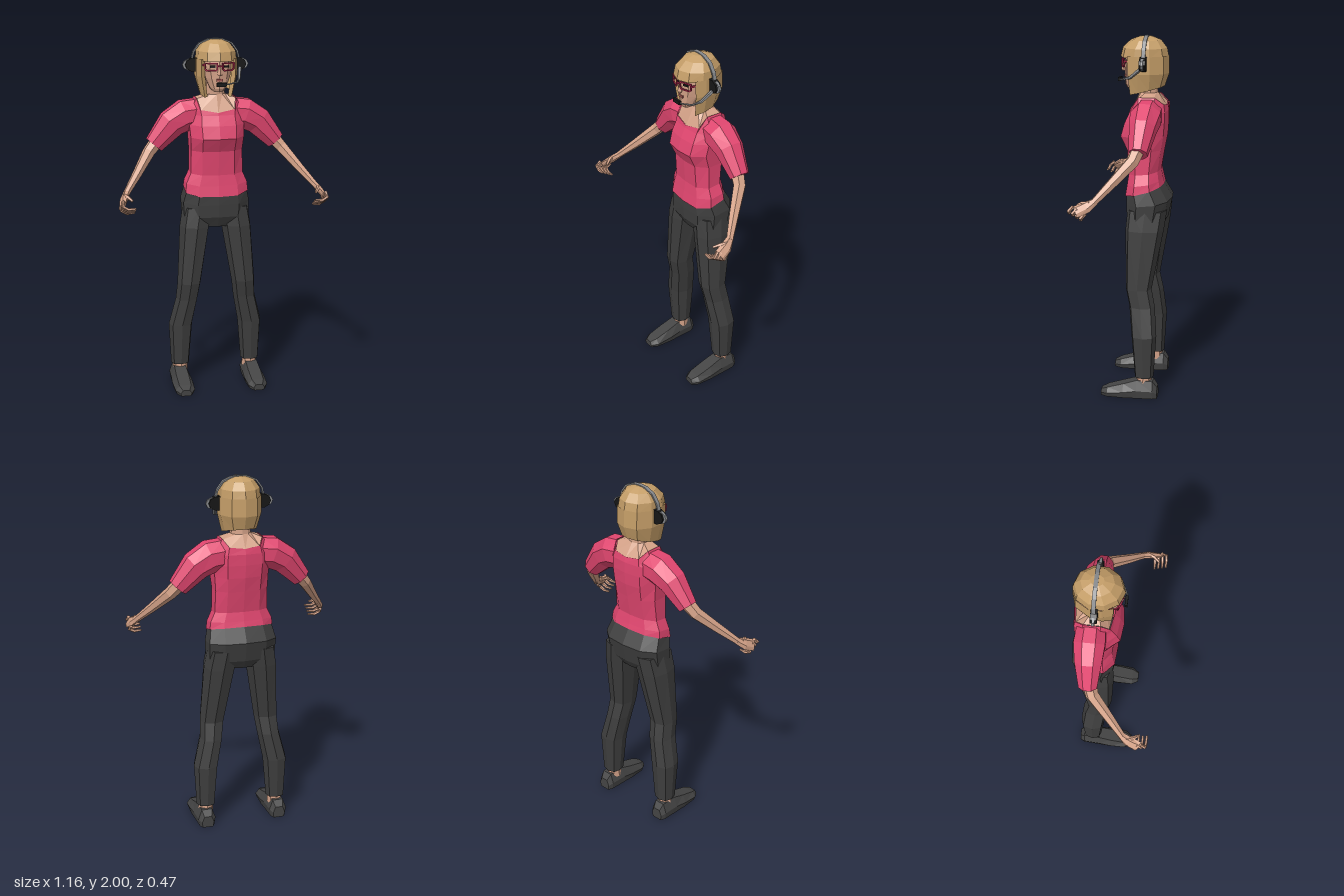
import * as THREE from 'three';

const mat = (name, color, side = THREE.FrontSide) => {
  const m = new THREE.MeshStandardMaterial({ color, side });
  m.name = name;
  return m;
};

// Faceted skin through a list of rings; s = -1 mirrors it across x
function loft(rings, { s = 1, capA = true, capB = true, closed = true } = {}) {
  const R = rings.map(r => r.map(p => new THREE.Vector3(p[0] * s, p[1], p[2])));
  const n = R[0].length, tris = [];
  const mean = r => r.reduce((a, p) => a.add(p), new THREE.Vector3()).divideScalar(r.length);
  for (let i = 0; i < R.length - 1; i++)
    for (let j = 0; j < (closed ? n : n - 1); j++) {
      const k = (j + 1) % n, a = R[i][j], b = R[i][k], c = R[i + 1][k], d = R[i + 1][j];
      tris.push([a, b, c], [a, c, d]);
    }
  const cap = (r, flip) => {
    const c = mean(r);
    r.forEach((p, j) => {
      const q = r[(j + 1) % n];
      tris.push(flip ? [c, q, p] : [c, p, q]);
    });
  };
  if (closed && capA) cap(R[0], true);
  if (closed && capB) cap(R[R.length - 1], false);
  // Turn every face outward by the sign of the enclosed volume
  const mid = mean(R.flat()), rel = p => p.clone().sub(mid);
  const vol = tris.reduce((v, [a, b, c]) => v + rel(a).dot(rel(b).cross(rel(c))), 0);
  const pts = tris.flatMap(([a, b, c]) => (vol < 0 ? [a, c, b] : [a, b, c]));
  const g = new THREE.BufferGeometry().setFromPoints(pts);
  g.computeVertexNormals();
  return g;
}

// Horizontal ring, first point at the front; e < 1 makes it boxier
function ring(y, x0, x1, zf, zb, n = 10, e = 1) {
  const pw = v => Math.sign(v) * Math.pow(Math.abs(v) < 1e-9 ? 0 : Math.abs(v), e);
  return Array.from({ length: n }, (_, i) => {
    const t = (i / n) * Math.PI * 2;
    return [(x0 + x1) / 2 + (x1 - x0) / 2 * pw(Math.sin(t)), y,
      (zf + zb) / 2 + (zf - zb) / 2 * pw(Math.cos(t))];
  });
}

// Completes a half ring (front centre to back centre) by mirroring
const whole = h => [...h, ...h.slice(1, -1).reverse().map(([x, y, z]) => [-x, y, z])];

// Boxy body section with its own front and back height
function bodyRing([yf, yb, w, zf, zb]) {
  return whole([[0, 0], [0.62, 0.04], [1, 0.3], [1, 0.72], [0.62, 0.95], [0, 1]].map(
    ([k, t]) => [w * k, yf + (yb - yf) * t, zf + (zb - zf) * t]));
}

// Limb rings along a path of [x, y, z, halfThickness, halfBreadth]
function limb(path, n = 6) {
  const P = path.map(p => new THREE.Vector3(p[0], p[1], p[2]));
  return path.map(([, , , a, b = a], i) => {
    const t = P[Math.min(i + 1, P.length - 1)].clone().sub(P[Math.max(i - 1, 0)]).normalize();
    const u = t.clone().cross(new THREE.Vector3(0, 0, 1)).normalize(), v = u.clone().cross(t);
    return Array.from({ length: n }, (_, j) => {
      const w = ((j + 0.5) / n) * Math.PI * 2;
      return P[i].clone().addScaledVector(u, a * Math.cos(w)).addScaledVector(v, b * Math.sin(w)).toArray();
    });
  });
}

export function createModel() {
  const model = new THREE.Group();
  const shirt = mat('pinkShirt', 0xe0466f, THREE.DoubleSide), trousers = mat('charcoalTrousers', 0x3e3e3e);
  const skin = mat('skin', 0xd3a187), hair = mat('blondHair', 0xc59e68, THREE.DoubleSide);
  const shoe = mat('darkShoe', 0x444444), grey = mat('headsetGrey', 0x85878a);
  const black = mat('black', 0x161616), frame = mat('glassesRed', 0xb0284e), lip = mat('lips', 0x9c5450);
  const add = (name, g, m, pos = [0, 0, 0], ry = 0) => {
    const o = new THREE.Mesh(g, m);
    o.name = name;
    o.position.set(...pos);
    o.rotation.y = ry;
    model.add(o);
    return o;
  };
  const box = (w, h, d) => new THREE.BoxGeometry(w, h, d);
  const drum = (r0, r1, h, n) => {
    const g = new THREE.CylinderGeometry(r0, r1, h, n).toNonIndexed();
    g.computeVertexNormals();
    return g;
  };

  // Shirt body, open at the neckline
  const neckline = whole([[0, 1.6, 0], [0.098, 1.617, -0.015], [0.112, 1.678, -0.06],
    [0.112, 1.678, -0.15], [0.085, 1.64, -0.195], [0, 1.63, -0.205]]);
  const body = [[1.13, 1.19, 0.178, 0.02, -0.19], [1.19, 1.22, 0.173, 0.01, -0.182],
    [1.25, 1.27, 0.148, 0.002, -0.172], [1.385, 1.39, 0.145, 0.012, -0.192], [1.46, 1.47, 0.15, 0.05, -0.207],
    [1.53, 1.54, 0.155, 0.03, -0.212], [1.585, 1.6, 0.15, 0.004, -0.212]].map(bodyRing);
  add('shirtBody', loft([...body, neckline], { capA: false, capB: false }), shirt);

  // Chest and neck
  const chest = neckline.map(([x, y, z]) => [x * 0.97, y - 0.004, -0.1 + (z + 0.1) * 0.96]);
  add('neck', loft([chest, ring(1.695, -0.056, 0.056, -0.052, -0.152), ring(1.82, -0.05, 0.05, -0.045, -0.14)]), skin);

  // Trouser seat
  add('trouserSeat', loft([[0.95, 0.95, 0.1, -0.02, -0.18], [1.01, 1, 0.185, 0.01, -0.212],
    [1.08, 1.11, 0.188, 0.014, -0.236], [1.14, 1.2, 0.171, 0.014, -0.183]].map(bodyRing)), trousers);

  for (const s of [1, -1]) {
    const side = s > 0 ? 'left' : 'right';
    const part = (name, rings, m) => add(side + name, loft(rings, { s }), m);

    // Trouser leg: y, inner x, outer x, front z, back z
    part('TrouserLeg', [[1.06, 0.02, 0.186, 0, -0.22], [0.95, 0.035, 0.205, 0.008, -0.205],
      [0.62, 0.09, 0.225, 0, -0.145], [0.52, 0.105, 0.232, -0.022, -0.165],
      [0.36, 0.135, 0.272, -0.04, -0.18], [0.12, 0.155, 0.26, -0.06, -0.166]]
      .map(r => ring(...r, 8, 0.75)), trousers);
    add(side + 'Ankle', drum(0.04, 0.044, 0.08, 8), skin, [s * 0.207, 0.11, -0.112]);

    // Shoe, from heel to toe: z, half width, height
    part('Shoe', [[-0.19, 0.035, 0.065], [-0.165, 0.05, 0.1], [-0.075, 0.055, 0.102],
      [0, 0.06, 0.078], [0.09, 0.056, 0.05], [0.128, 0.032, 0.034]].map(([z, w, h]) =>
      [[-0.85, 0], [0.85, 0], [1, 0.45], [0.6, 1], [-0.6, 1], [-1, 0.45]].map(
        ([k, t]) => [0.213 + w * k, h * t, z])), shoe);

    // Sleeve, bare arm and palm
    part('Sleeve', limb([[0.1, 1.585, -0.11, 0.09, 0.082], [0.17, 1.578, -0.11, 0.092, 0.088],
      [0.247, 1.532, -0.107, 0.083, 0.076], [0.347, 1.418, -0.1, 0.056, 0.052]], 8), shirt);
    part('Arm', limb([[0.32, 1.45, -0.1, 0.042, 0.04], [0.38, 1.382, -0.075, 0.035, 0.036],
      [0.46, 1.28, 0.02, 0.026, 0.028], [0.53, 1.195, 0.1, 0.018, 0.02]]), skin);
    part('Palm', limb([[0.525, 1.2, 0.093, 0.018, 0.02], [0.547, 1.172, 0.135, 0.019, 0.033],
      [0.563, 1.148, 0.192, 0.012, 0.034]]), skin);

    // Curled fingers and thumb
    for (let i = 0; i < 4; i++) {
      const y = 1.166 - i * 0.012, z = 0.226 - i * 0.021;
      part('Finger' + (i + 1), limb([[0.56, y + 0.01, z - 0.025, 0.01], [0.564, y - 0.014, z, 0.01],
        [0.535, y - 0.03, z + 0.004, 0.009], [0.495, y - 0.027, z + 0.004, 0.006]], 5), skin);
    }
    part('Thumb', limb([[0.542, 1.19, 0.12, 0.013], [0.53, 1.188, 0.16, 0.011], [0.508, 1.172, 0.192, 0.007]], 5), skin);

    // Eyes and glasses
    add(side + 'Eye', box(0.03, 0.011, 0.006), black, [s * 0.038, 1.857, 0.025], s * 0.32);
    const lens = new THREE.Shape(), hole = new THREE.Path();
    [[lens, 0.037, 0.023], [hole, 0.03, 0.016]].forEach(([p, w, h]) =>
      p.moveTo(-w, -h * 0.6).lineTo(-w * 0.7, -h).lineTo(w * 0.7, -h).lineTo(w, -h * 0.6).lineTo(w, h).lineTo(-w, h));
    lens.holes.push(hole);
    add(side + 'GlassesRim', new THREE.ExtrudeGeometry(lens, { depth: 0.007, bevelEnabled: false }),
      frame, [s * 0.046, 1.856, 0.03], s * 0.35);
    add(side + 'GlassesTemple', box(0.006, 0.01, 0.075), frame, [s * 0.09, 1.866, -0.014], -s * 0.2);

    // Ear cup
    for (const [name, r, h, x, m] of [['EarPad', 0.053, 0.034, 0.118, black], ['EarShell', 0.045, 0.014, 0.14, grey]]) {
      const g = drum(r, r, h, 10).scale(0.74, 1, 1).rotateX(Math.PI / 2).rotateZ(Math.PI / 2).rotateY(Math.PI / 2);
      g.rotateY(-Math.PI / 2).computeBoundingBox();
      g.center();
      const size = g.boundingBox.getSize(new THREE.Vector3());
      if (size.y < size.z) g.rotateX(Math.PI / 2);
      add(side + name, g, m, [s * x, 1.858, -0.088]);
    }
  }
  add('glassesBridge', box(0.022, 0.008, 0.007), frame, [0, 1.862, 0.045]);

  // Face
  add('face', loft([[1.717, 0.026, 0.02, -0.04], [1.735, 0.044, 0.029, -0.08], [1.79, 0.07, 0.031, -0.12],
    [1.85, 0.086, 0.033, -0.14], [1.92, 0.088, 0.025, -0.15]].map(([y, w, f, b]) => ring(y, -w, w, f, b))), skin);
  add('nose', loft([[1.808, 0.015, 0.047, 0.02], [1.818, 0.014, 0.052, 0.02], [1.865, 0.006, 0.038, 0.02]]
    .map(([y, w, f, b]) => ring(y, -w, w, f, b, 4))), skin);
  add('mouth', box(0.036, 0.013, 0.008), lip, [0, 1.783, 0.029]);

  // Hair: crown with fringe, then a bob that hangs round the sides and back
  add('hairCrown', loft([[1.885, 0.114, 0.056, -0.21], [1.935, 0.109, 0.043, -0.2], [1.977, 0.078, 0, -0.168],
    [1.996, 0.03, -0.05, -0.12]].map(([y, w, f, b]) => ring(y, -w, w, f, b))), hair);
  const bob = [[1.895, 1.895, 1, 0.005, -0.21], [1.8, 1.8, 1, 0.002, -0.212], [1.685, 1.73, 0.79, -0.008, -0.188]].map(
    ([yf, yb, k, zf, zb]) => {
      const h = [[0.072, 0.08], [0.094, 0], [0.114, 0.26], [0.112, 0.58], [0.07, 0.9], [0, 1]].map(
        ([x, t]) => [x * k, yf + (yb - yf) * t, zf + (zb - zf) * t]);
      return [...h, ...h.slice(0, -1).reverse().map(([x, y, z]) => [-x, y, z])];
    });
  add('hairBob', loft(bob, { closed: false }), hair);

  // Headset band, boom and microphone
  const arc = [[0.132, 1.89], [0.122, 1.93], [0.09, 1.973], [0.04, 1.994]];
  const band = [...arc, [0, 1.997], ...arc.slice().reverse().map(([x, y]) => [-x, y])];
  add('headband', loft(limb(band.map(([x, y]) => [x, y, -0.09, 0.006, 0.015]), 4)), grey);
  add('microphoneBoom', loft(limb([[0.135, 1.835, -0.075, 0.011], [0.118, 1.785, -0.015, 0.009],
    [0.1, 1.772, 0.03, 0.005], [0.045, 1.764, 0.056, 0.004], [0.02, 1.763, 0.058, 0.004]], 5)), grey);
  add('microphone', box(0.056, 0.021, 0.014), black, [0.006, 1.763, 0.058]);

  return model;
}
